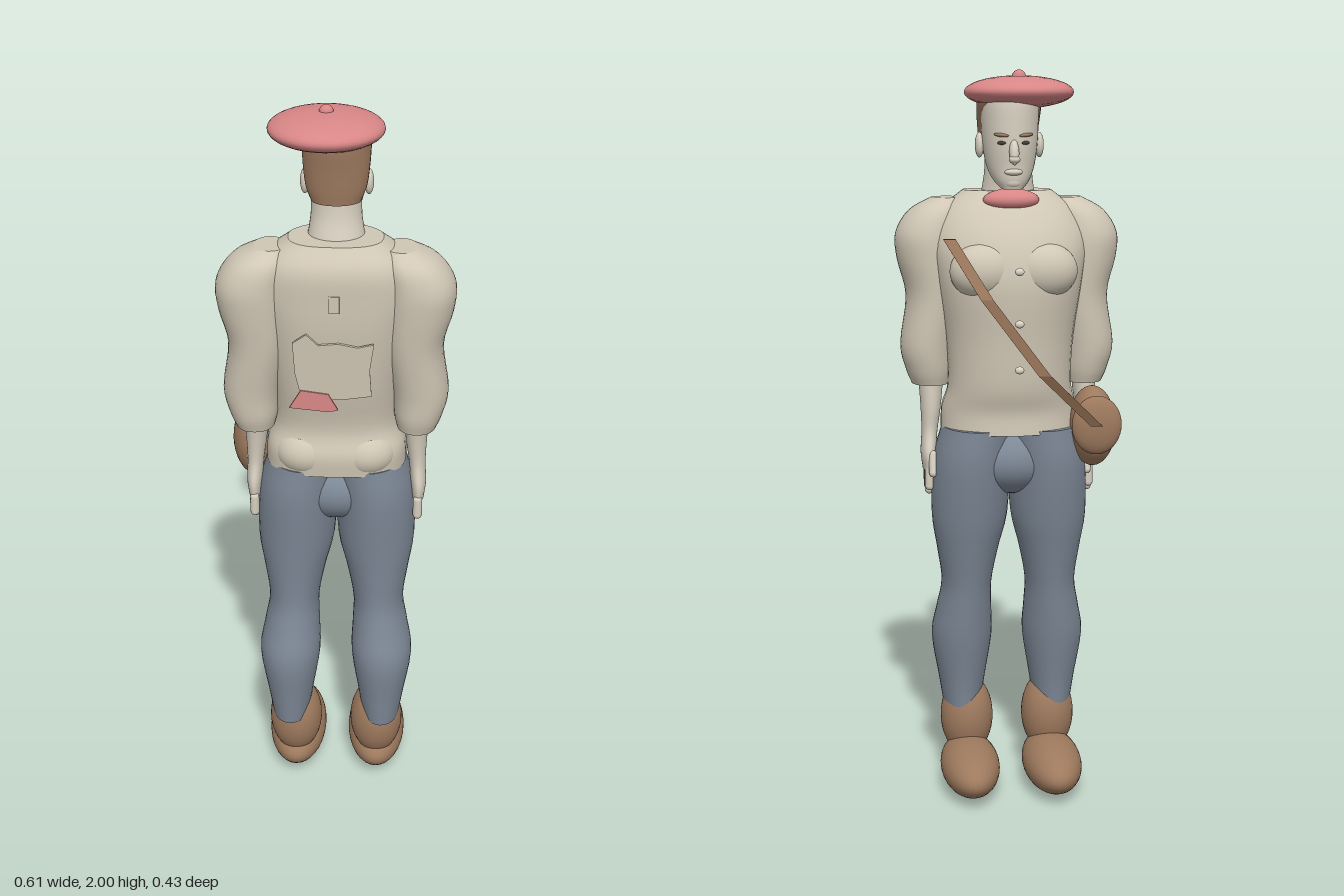
import * as THREE from 'three';

const mat = (name, color) => {
  const m = new THREE.MeshStandardMaterial({ color });
  m.name = name;
  return m;
};

// Smooth body built from rings [y, cx, cz, rx, rz], listed bottom to top.
// backPower above 2 squares off the +z half.
function loft(rings, backPower = 2, rows = 28, cols = 36) {
  const centre = new THREE.CatmullRomCurve3(rings.map(r => new THREE.Vector3(r[1], r[0], r[2])), false, 'catmullrom');
  const radius = new THREE.CatmullRomCurve3(rings.map(r => new THREE.Vector3(r[3], 0, r[4])), false, 'catmullrom');
  const pos = [], idx = [];
  const ring = t => {
    const c = centre.getPoint(t), r = radius.getPoint(t);
    for (let j = 0; j < cols; j++) {
      const a = (j / cols) * Math.PI * 2, co = Math.cos(a), si = Math.sin(a);
      const e = 2 / (si > 0 ? backPower : 2);
      pos.push(c.x + r.x * Math.sign(co) * Math.abs(co) ** e, c.y, c.z + r.z * Math.sign(si) * Math.abs(si) ** e);
    }
    return c;
  };
  for (let i = 0; i <= rows; i++) ring(i / rows);
  for (let i = 0; i < rows; i++) {
    for (let j = 0; j < cols; j++) {
      const a = i * cols + j, b = i * cols + (j + 1) % cols;
      idx.push(a, a + cols, b, b, a + cols, b + cols);
    }
  }
  // End caps
  for (const t of [0, 1]) {
    const base = pos.length / 3, c = ring(t), mid = base + cols;
    pos.push(c.x, c.y, c.z);
    for (let j = 0; j < cols; j++) {
      const a = base + j, b = base + (j + 1) % cols;
      idx.push(mid, t ? b : a, t ? a : b);
    }
  }
  const g = new THREE.BufferGeometry();
  g.setAttribute('position', new THREE.Float32BufferAttribute(pos, 3));
  g.setIndex(idx);
  g.computeVertexNormals();
  return g;
}

export function createModel() {
  const group = new THREE.Group();
  const shirt = mat('cream shirt', 0xd0c7b5), skin = mat('pale skin', 0xd8d0c1);
  const denim = mat('blue grey trousers', 0x7d8896), red = mat('soft red', 0xd88686);
  const leather = mat('brown leather', 0x9e7a5e), hairMat = mat('brown hair', 0x9c795e);
  const white = mat('button ivory', 0xdcd6c8), dark = mat('dark eyes', 0x4a4038);

  const add = (name, geo, m, p = [0, 0, 0], rot = [0, 0, 0]) => {
    const mesh = new THREE.Mesh(geo, m);
    mesh.name = name;
    mesh.position.set(...p);
    mesh.rotation.set(...rot);
    group.add(mesh);
    return mesh;
  };
  const ball = (name, m, p, r, rot) => add(name, new THREE.SphereGeometry(1, 32, 20), m, p, rot).scale.set(...r);
  const plate = (name, m, points, p, rot) => {
    const shape = new THREE.Shape(points.map(q => new THREE.Vector2(...q)));
    add(name, new THREE.ExtrudeGeometry(shape, { depth: 0.007, bevelEnabled: false }), m, p, rot);
  };

  // Shirt body
  add('torso', loft([
    [1.04, 0, 0.037, 0.188, 0.142], [1.1, 0, 0.04, 0.185, 0.142], [1.17, 0, 0.022, 0.168, 0.142],
    [1.3, 0, 0.03, 0.175, 0.158], [1.45, 0, 0.034, 0.2, 0.172], [1.55, 0, 0.05, 0.212, 0.16],
    [1.63, 0, 0.075, 0.185, 0.132], [1.685, 0, 0.085, 0.12, 0.085],
  ], 2.7), shirt);

  // Head and neck
  add('neck', loft([
    [1.6, 0, 0.075, 0.085, 0.075], [1.68, 0, 0.065, 0.072, 0.065],
    [1.74, 0, 0.055, 0.064, 0.06], [1.82, 0, 0.05, 0.064, 0.06],
  ]), skin);
  add('head', loft([
    [1.692, 0, -0.04, 0.028, 0.026], [1.715, 0, -0.015, 0.048, 0.058], [1.75, 0, 0.005, 0.063, 0.08],
    [1.8, 0, 0.016, 0.072, 0.096], [1.86, 0, 0.02, 0.076, 0.1], [1.92, 0, 0.02, 0.075, 0.097], [1.96, 0, 0.02, 0.06, 0.08],
  ]), skin);
  add('hair', loft([
    [1.775, 0, 0.08, 0.062, 0.045], [1.81, 0, 0.07, 0.076, 0.058], [1.86, 0, 0.058, 0.083, 0.073],
    [1.91, 0, 0.036, 0.086, 0.1], [1.95, 0, 0.026, 0.084, 0.108],
  ]), hairMat);
  ball('nose', skin, [0, 1.788, -0.083], [0.013, 0.034, 0.016], [0.28, 0, 0]);
  ball('noseTip', skin, [0, 1.77, -0.09], [0.015, 0.011, 0.014]);
  ball('lips', skin, [0, 1.737, -0.07], [0.024, 0.009, 0.012]);
  ball('chin', skin, [0, 1.71, -0.055], [0.024, 0.017, 0.018]);

  // Beret, its knob and the neckerchief
  ball('beret', red, [-0.026, 1.942, 0.031], [0.146, 0.043, 0.143]);
  ball('beretKnob', red, [-0.026, 1.983, 0.031], [0.018, 0.017, 0.018]);
  ball('neckerchief', red, [0, 1.662, -0.012], [0.075, 0.03, 0.045]);

  // Trouser seat
  ball('trouserSeat', denim, [0, 0.955, 0.035], [0.15, 0.1, 0.125]);

  for (const s of [1, -1]) {
    const side = s > 0 ? 'left' : 'right';
    const mirror = rings => rings.map(([y, x, ...rest]) => [y, x * s, ...rest]);

    // Face details
    ball(side + 'Ear', skin, [s * 0.08, 1.805, 0.026], [0.012, 0.033, 0.02]);
    ball(side + 'Eye', dark, [s * 0.03, 1.812, -0.069], [0.013, 0.005, 0.007], [0, -s * 0.35, 0]);
    ball(side + 'Eyebrow', hairMat, [s * 0.032, 1.832, -0.07], [0.021, 0.005, 0.008], [0, -s * 0.35, s * 0.1]);

    // Chest and seat fullness
    ball(side + 'Chest', shirt, [s * 0.08, 1.48, -0.075], [0.09, 0.075, 0.065]);
    ball(side + 'ShirtTail', shirt, [s * 0.078, 1.09, 0.105], [0.085, 0.07, 0.08]);

    // Full sleeve with a flat cuff
    add(side + 'Sleeve', loft(mirror([
      [1.16, 0.212, 0.088, 0.052, 0.07], [1.2, 0.216, 0.087, 0.064, 0.082], [1.27, 0.22, 0.085, 0.074, 0.09],
      [1.4, 0.2, 0.09, 0.077, 0.1], [1.5, 0.209, 0.093, 0.091, 0.108], [1.57, 0.211, 0.096, 0.092, 0.108],
      [1.63, 0.19, 0.1, 0.076, 0.09], [1.665, 0.165, 0.1, 0.04, 0.05],
    ]), 2.3), shirt);

    // Forearm, palm, fingers and thumb
    add(side + 'ForearmAndHand', loft(mirror([
      [0.925, 0.222, 0.06, 0.016, 0.046], [0.97, 0.222, 0.06, 0.021, 0.05], [1.03, 0.218, 0.064, 0.022, 0.036],
      [1.1, 0.214, 0.066, 0.028, 0.04], [1.2, 0.212, 0.075, 0.036, 0.048],
    ])), skin);
    for (let i = 0; i < 4; i++) {
      const length = [0.05, 0.065, 0.06, 0.045][i];
      add(side + 'Finger', new THREE.CapsuleGeometry(0.0125, length, 4, 10), skin,
        [s * 0.221, 0.93 - length / 2, 0.026 + i * 0.025]);
    }
    add(side + 'Thumb', new THREE.CapsuleGeometry(0.012, 0.05, 4, 10), skin, [s * 0.212, 0.945, 0.01], [0.3, 0, 0]);

    // Trouser leg
    add(side + 'TrouserLeg', loft(mirror([
      [0.215, 0.13, 0.1, 0.052, 0.078], [0.3, 0.13, 0.1, 0.065, 0.087], [0.43, 0.13, 0.095, 0.085, 0.105],
      [0.52, 0.124, 0.077, 0.077, 0.099], [0.6, 0.118, 0.062, 0.07, 0.095], [0.7, 0.115, 0.053, 0.086, 0.106],
      [0.8, 0.11, 0.046, 0.105, 0.12], [0.95, 0.104, 0.041, 0.107, 0.138], [1.05, 0.088, 0.038, 0.097, 0.136],
    ])), denim);

    // Boot shaft and foot
    ball(side + 'BootShaft', leather, [s * 0.117, 0.185, 0.09], [0.075, 0.12, 0.079]);
    ball(side + 'BootFoot', leather, [s * 0.117, 0.072, -0.01], [0.083, 0.072, 0.175]);
  }

  // Front buttons
  for (const y of [1.49, 1.355, 1.235]) ball('button', white, [0, y, -0.203], [0.012, 0.01, 0.008]);

  // Shoulder strap: a flat ribbon standing off the chest
  const path = [[0.175, 1.57, -0.137], [0.085, 1.42, -0.212], [-0.065, 1.22, -0.212], [-0.215, 1.07, -0.14]];
  const verts = [], faces = [];
  for (const [x, y, z] of path) {
    for (const [dx, dz] of [[-0.016, -0.003], [0.016, -0.003], [0.016, 0.003], [-0.016, 0.003]]) verts.push(x + dx, y, z + dz);
  }
  for (let i = 0; i < 3; i++) {
    for (let k = 0; k < 4; k++) {
      const a = i * 4 + k, b = i * 4 + (k + 1) % 4;
      faces.push(a, b, a + 4, b, b + 4, a + 4);
    }
  }
  const ribbon = new THREE.BufferGeometry();
  ribbon.setAttribute('position', new THREE.Float32BufferAttribute(verts, 3));
  ribbon.setIndex(faces);
  const flatRibbon = ribbon.toNonIndexed();
  flatRibbon.computeVertexNormals();
  const strapMat = mat('strap leather', 0x9a765a);
  strapMat.side = THREE.DoubleSide;
  add('strap', flatRibbon, strapMat);

  // Satchel at the right hip
  ball('satchel', leather, [-0.222, 1.05, -0.025], [0.064, 0.11, 0.09]);
  ball('satchelFlap', leather, [-0.222, 1.065, -0.1], [0.068, 0.08, 0.027]);

  // Back panel, tab and hanging red cloth
  plate('backPanel', shirt, [
    [-0.085, 0.01], [-0.04, 0], [0.03, 0.005], [0.095, 0.015], [0.09, 0.09], [0.1, 0.165],
    [0.06, 0.155], [0.01, 0.165], [-0.04, 0.16], [-0.07, 0.19], [-0.105, 0.165], [-0.1, 0.08],
  ], [0, 1.28, 0.195], [0.06, 0, 0]);
  plate('redCloth', red, [[-0.115, 0.01], [-0.015, 0], [0.01, 0.005], [-0.015, 0.05], [-0.085, 0.06]], [0, 1.25, 0.2]);
  add('backTab', new THREE.BoxGeometry(0.026, 0.045, 0.008), shirt, [0, 1.55, 0.209]);

  return group;
}
